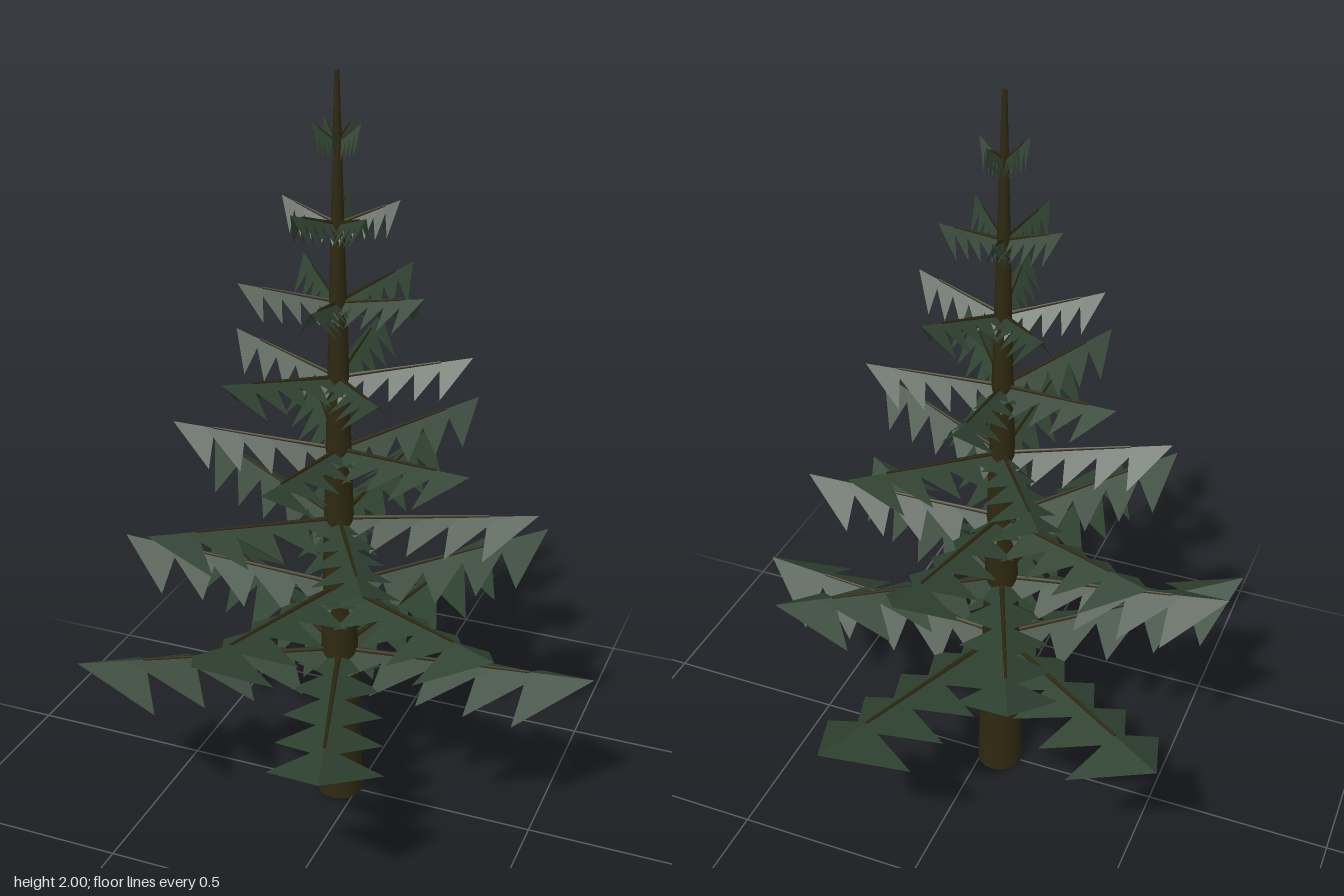
import * as THREE from 'three';

const TRUNK_X = -0.05;
const LAYERS = 8;
const PER_LAYER = 5;
const LEAVES = 5;
const LENGTH = 0.7; // lowest branch
const RISE = 0.06; // height gained from trunk to branch tip

// Folded, drooping leaf fans along +x: ridge on the branch, corners hanging down
function foliageGeometry() {
  const pos = [];
  for (let i = 0; i < LEAVES; i++) {
    const t = i / (LEAVES - 1);
    const start = 0.75 * t;
    const end = start + 0.25;
    const half = LENGTH * THREE.MathUtils.lerp(0.165, 0.207, t);
    const droop = THREE.MathUtils.lerp(0.055, 0.08, t);
    const tip = [end * LENGTH, end * RISE, 0];
    const back = [start * LENGTH, start * RISE, 0];
    const corner = (side) => [back[0], back[1] - droop, side * half];
    pos.push(...tip, ...back, ...corner(1));
    pos.push(...tip, ...corner(-1), ...back);
  }
  // wind the faces so that they look upward
  for (let i = 0; i < pos.length; i += 9) {
    for (let k = 0; k < 3; k++) {
      [pos[i + 3 + k], pos[i + 6 + k]] = [pos[i + 6 + k], pos[i + 3 + k]];
    }
  }
  const g = new THREE.BufferGeometry();
  g.setAttribute('position', new THREE.Float32BufferAttribute(pos, 3));
  g.computeVertexNormals();
  return g;
}

// Thin tapered stick from the trunk to the root of the last leaf
function stickGeometry() {
  const len = LENGTH * 0.76;
  const g = new THREE.CylinderGeometry(0.004, 0.008, len, 6);
  g.translate(0, len / 2, 0);
  g.rotateZ(-Math.PI / 2 + Math.atan2(RISE, LENGTH));
  return g;
}

export function createModel() {
  const bark = new THREE.MeshStandardMaterial({ color: 0x2e2810 });
  bark.name = 'bark brown';
  const needles = new THREE.MeshStandardMaterial({ color: 0x2f4231, side: THREE.DoubleSide });
  needles.name = 'needle green';

  const tree = new THREE.Group();
  tree.name = 'conifer';

  const trunk = new THREE.Mesh(new THREE.CylinderGeometry(0.006, 0.063, 2, 16), bark);
  trunk.name = 'trunk';
  trunk.position.set(TRUNK_X, 1, 0);
  tree.add(trunk);

  const leafGeo = foliageGeometry();
  const stickGeo = stickGeometry();

  // Whorls of five branches, each turned and shortened against the one below
  for (let i = 0; i < LAYERS; i++) {
    const whorl = new THREE.Group();
    whorl.name = `whorl${i + 1}`;
    whorl.position.set(TRUNK_X, 0.453 + 0.197 * i, 0);
    const s = 1 - 0.1304 * i;
    for (let j = 0; j < PER_LAYER; j++) {
      const branch = new THREE.Group();
      branch.name = 'branch';
      branch.rotation.y = -THREE.MathUtils.degToRad(31 * i + (360 / PER_LAYER) * j);
      branch.scale.set(s, 1 - 0.02 * i, s);
      const stick = new THREE.Mesh(stickGeo, bark);
      stick.name = 'stick';
      const leaves = new THREE.Mesh(leafGeo, needles);
      leaves.name = 'needles';
      branch.add(stick, leaves);
      whorl.add(branch);
    }
    tree.add(whorl);
  }
  return tree;
}
